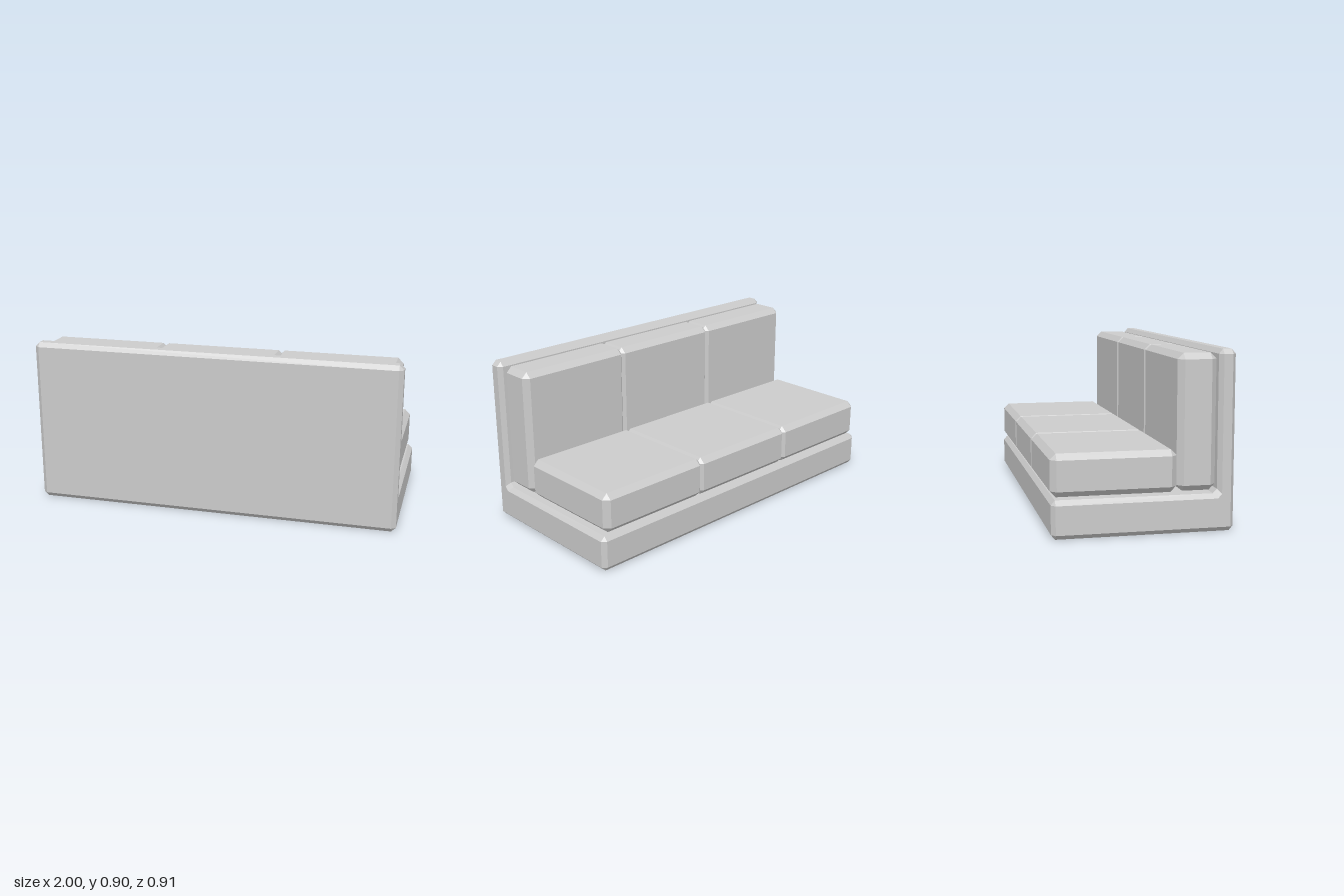
import * as THREE from 'three';
import { ConvexGeometry } from 'three/addons/geometries/ConvexGeometry.js';

const material = new THREE.MeshStandardMaterial({ color: 0xcccccc, flatShading: true });

function addMesh(parent, name, geometry) {
  const mesh = new THREE.Mesh(geometry, material);
  mesh.name = name;
  parent.add(mesh);
  return mesh;
}

// Box between two corners with every edge cut by a chamfer c
function chamferBox([x0, y0, z0], [x1, y1, z1], c) {
  const half = [(x1 - x0) / 2, (y1 - y0) / 2, (z1 - z0) / 2];
  const points = [];
  for (const sx of [-1, 1]) for (const sy of [-1, 1]) for (const sz of [-1, 1]) {
    for (let full = 0; full < 3; full++) {
      const h = half.map((v, i) => (i === full ? v : v - c));
      points.push(new THREE.Vector3(sx * h[0], sy * h[1], sz * h[2]));
    }
  }
  return new ConvexGeometry(points).translate((x0 + x1) / 2, (y0 + y1) / 2, (z0 + z1) / 2);
}

// L-shaped body: a side profile with cut corners, tapering to a smaller end face
function frameGeometry() {
  const cy = 0.024, cz = 0.02;
  // Corners of the end face as [z, y, direction of z offset, direction of y offset]
  const corners = [
    [-0.435, 0.024, -1, -1],
    [-0.435, 0.168, -1, 1],
    [0.37, 0.168, 0, 0],
    [0.39, 0.19, 0, 0],
    [0.39, 0.875, -1, 1],
    [0.435, 0.875, 1, 1],
    [0.435, 0.024, 1, -1],
  ];
  const inner = [], outer = [];
  corners.forEach(([z, y, dz, dy]) => {
    if (dz === 0) {
      inner.push([z, y]);
      outer.push([z - cz, y + 0.022]);
      return;
    }
    const pair = [[z + dz * cz, y], [z, y + dy * cy]];
    // Order the two cut points along the outline
    if (dz === dy) pair.reverse();
    inner.push([z, y], [z, y]);
    outer.push(...pair);
  });

  const rings = [[-1, inner], [-0.976, outer], [0.976, outer], [1, inner]].map(([x, loop]) =>
    loop.map(([z, y]) => new THREE.Vector3(x, y, z)));
  const positions = [];
  const tri = (a, b, c) => {
    if (new THREE.Triangle(a, b, c).getArea() < 1e-8) return;
    for (const p of [a, b, c]) positions.push(p.x, p.y, p.z);
  };
  const n = inner.length;
  for (let r = 0; r < 3; r++) {
    for (let i = 0; i < n; i++) {
      const j = (i + 1) % n;
      const a = rings[r][i], b = rings[r][j], c = rings[r + 1][j], d = rings[r + 1][i];
      tri(a, b, c);
      tri(a, c, d);
    }
  }
  // End caps
  const flat = corners.map(([z, y]) => new THREE.Vector2(z, y));
  for (const side of [-1, 1]) {
    for (const face of THREE.ShapeUtils.triangulateShape(flat, [])) {
      const [a, b, c] = face.map((k) => new THREE.Vector3(side, flat[k].y, flat[k].x));
      const facing = b.clone().sub(a).cross(c.clone().sub(a)).x * side;
      if (facing > 0) tri(a, b, c);
      else tri(a, c, b);
    }
  }
  const geometry = new THREE.BufferGeometry();
  geometry.setAttribute('position', new THREE.Float32BufferAttribute(positions, 3));
  geometry.computeVertexNormals();
  return geometry;
}

export function createModel() {
  const sofa = new THREE.Group();
  sofa.name = 'sofa';

  addMesh(sofa, 'frame', frameGeometry());

  // Three seat and three back cushions, pressed slightly into each other
  const spans = [['Right', -0.976, -0.312], ['Middle', -0.34, 0.34], ['Left', 0.312, 0.976]];
  for (const [side, x0, x1] of spans) {
    addMesh(sofa, 'seatCushion' + side, chamferBox([x0, 0.2, -0.455], [x1, 0.412, 0.172], 0.03));
    addMesh(sofa, 'backCushion' + side, chamferBox([x0, 0.203, 0.172], [x1, 0.88, 0.368], 0.03));
  }
  return sofa;
}
